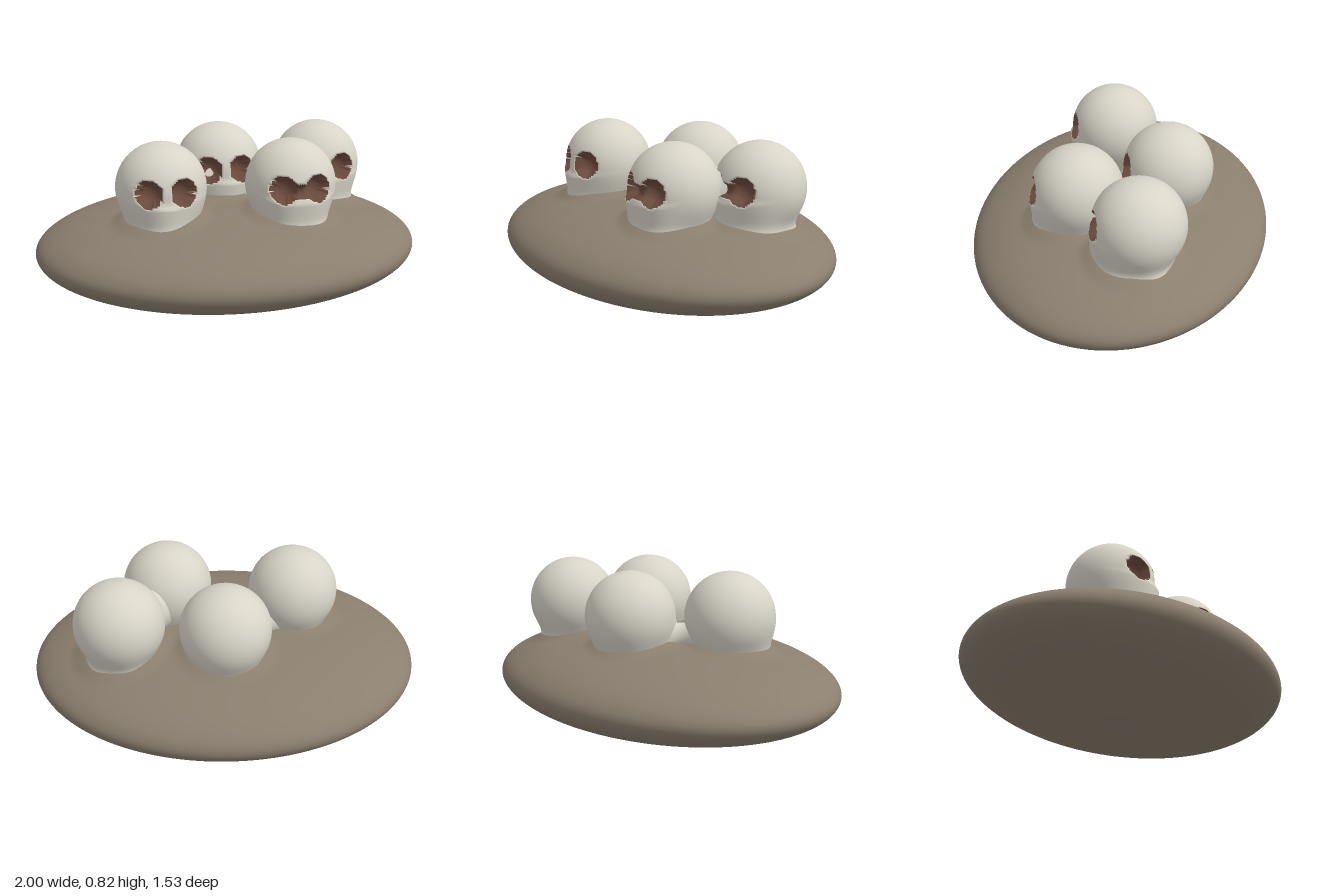
import * as THREE from 'three';
import { mergeVertices } from 'three/addons/utils/BufferGeometryUtils.js';

const bone = new THREE.MeshStandardMaterial({ color: 0xd8d4c8 });
const earth = new THREE.MeshStandardMaterial({ color: 0x8b7f6f });
const hollow = new THREE.MeshStandardMaterial({ color: 0x6b4a3e });

const R = 0.23, SKULL_Y = 0.595;
// x, z, and whether the sockets are joined by a broken nasal slot
const SKULLS = [[-0.36, 0.11, false], [0, -0.24, false], [0.295, 0.17, true], [0.53, -0.18, true]];

function smoothMin(a, b, k) {
  const h = Math.max(k - Math.abs(a - b), 0) / k;
  return Math.min(a, b) - h * h * k / 4;
}

// Distance to the solid skull: round cranium blended into a jaw that flares at its foot
function solidDistance(p, phase) {
  const a = Math.atan2(p.z, p.x);
  const flare = Math.max(0, (-0.13 - p.y) / 0.1) ** 2 * 0.03;
  const wobble = 1 + 0.025 * Math.sin(5 * a + phase);
  const rx = (0.178 + flare) * wobble, rz = (0.2 + flare) * wobble;
  const wall = (Math.hypot(p.x / rx, (p.z - 0.035) / rz) - 1) * 0.19;
  const jaw = Math.max(wall, p.y + 0.05, -0.24 - p.y);
  return smoothMin(p.length() - R, jaw, 0.05);
}

// Distance to the hollows: two eye sockets and the optional slot between them
function hollowDistance(p, slotted) {
  let d = Math.hypot(Math.abs(p.x) - 0.085, p.y - 0.025, p.z - 0.2) - 0.065;
  if (slotted) {
    const x = Math.max(Math.abs(p.x) - 0.085, 0);
    d = Math.min(d, Math.hypot(x, p.y - 0.018, p.z - 0.225) - 0.033);
  }
  return d;
}

function makeSkull(slotted, phase) {
  const geo0 = new THREE.SphereGeometry(1, 120, 84);
  geo0.deleteAttribute('uv');
  geo0.deleteAttribute('normal');
  const geo = mergeVertices(geo0, 1e-5);
  const pos = geo.attributes.position;
  const dir = new THREE.Vector3(), p = new THREE.Vector3();
  const field = (t) => {
    p.copy(dir).multiplyScalar(t);
    return Math.max(solidDistance(p, phase), -hollowDistance(p, slotted));
  };
  // move every vertex along its ray until it meets the carved surface
  for (let i = 0; i < pos.count; i++) {
    dir.fromBufferAttribute(pos, i).normalize();
    let t = 0.42;
    while (t > 0.06 && field(t) > 0) t -= 0.006;
    let lo = t, hi = t + 0.006;
    for (let n = 0; n < 9; n++) {
      const mid = (lo + hi) / 2;
      if (field(mid) > 0) hi = mid; else lo = mid;
    }
    pos.setXYZ(i, dir.x * lo, dir.y * lo, dir.z * lo);
  }
  geo.computeVertexNormals();

  // separate the socket faces from the bone
  const index = geo.index.array, outer = [], inner = [], c = new THREE.Vector3();
  for (let i = 0; i < index.length; i += 3) {
    c.set(0, 0, 0);
    for (let k = 0; k < 3; k++) c.add(p.fromBufferAttribute(pos, index[i + k]));
    c.divideScalar(3);
    const list = hollowDistance(c, slotted) < 0.004 && c.z > 0 ? inner : outer;
    list.push(index[i], index[i + 1], index[i + 2]);
  }
  const group = new THREE.Group();
  group.name = 'skull';
  for (const [name, list, mat] of [['cranium', outer, bone], ['eyeSockets', inner, hollow]]) {
    const part = geo.clone();
    part.setIndex(list);
    const mesh = new THREE.Mesh(part, mat);
    mesh.name = name;
    group.add(mesh);
  }
  return group;
}

// Flattened mound whose top swells slightly around each skull's foot
function makeMound() {
  const geo = new THREE.SphereGeometry(1, 160, 100);
  const pos = geo.attributes.position;
  for (let i = 0; i < pos.count; i++) {
    const x = pos.getX(i), z = pos.getZ(i) * 0.765;
    let y = 0.235 + pos.getY(i) * 0.235;
    if (pos.getY(i) > 0) {
      let lift = 0;
      for (const [sx, sz] of SKULLS) {
        const d = Math.hypot(x - sx, z - sz - 0.03);
        lift = Math.max(lift, 1 - THREE.MathUtils.smoothstep(d, 0.17, 0.27));
      }
      y += 0.025 * lift;
    }
    pos.setXYZ(i, x, y, z);
  }
  geo.computeVertexNormals();
  // keep the seam of the sphere smooth
  geo.deleteAttribute('uv');
  geo.deleteAttribute('normal');
  const smooth = mergeVertices(geo, 1e-5);
  smooth.computeVertexNormals();
  const mesh = new THREE.Mesh(smooth, earth);
  mesh.name = 'mound';
  return mesh;
}

// Waisted web of bone that fuses two neighbouring skulls
function makeWeb([ax, az], [bx, bz], y, waist, end, shift) {
  const points = [];
  for (let i = 0; i <= 12; i++) {
    const t = i / 6 - 1;
    points.push(new THREE.Vector2(waist + (end - waist) * t * t, t * 0.11));
  }
  const geo = new THREE.LatheGeometry(points, 32);
  geo.rotateX(Math.PI / 2);
  geo.scale(1, 1.25, 1);
  const mesh = new THREE.Mesh(geo, bone);
  mesh.name = 'boneWeb';
  mesh.rotation.y = Math.atan2(bx - ax, bz - az);
  mesh.position.set((ax + bx) / 2 + shift, y, (az + bz) / 2 + shift * 0.5);
  return mesh;
}

export function createModel() {
  const model = new THREE.Group();
  model.name = 'skullMound';
  model.add(makeMound());
  SKULLS.forEach(([x, z, slotted], i) => {
    const skull = makeSkull(slotted, i * 1.7);
    skull.position.set(x, SKULL_Y, z);
    model.add(skull);
  });
  const [a, b, c, d] = SKULLS;
  model.add(makeWeb(a, b, 0.5, 0.05, 0.11, -0.01));
  model.add(makeWeb(b, c, 0.46, 0.045, 0.09, 0));
  model.add(makeWeb(c, d, 0.56, 0.105, 0.13, -0.03));
  return model;
}
